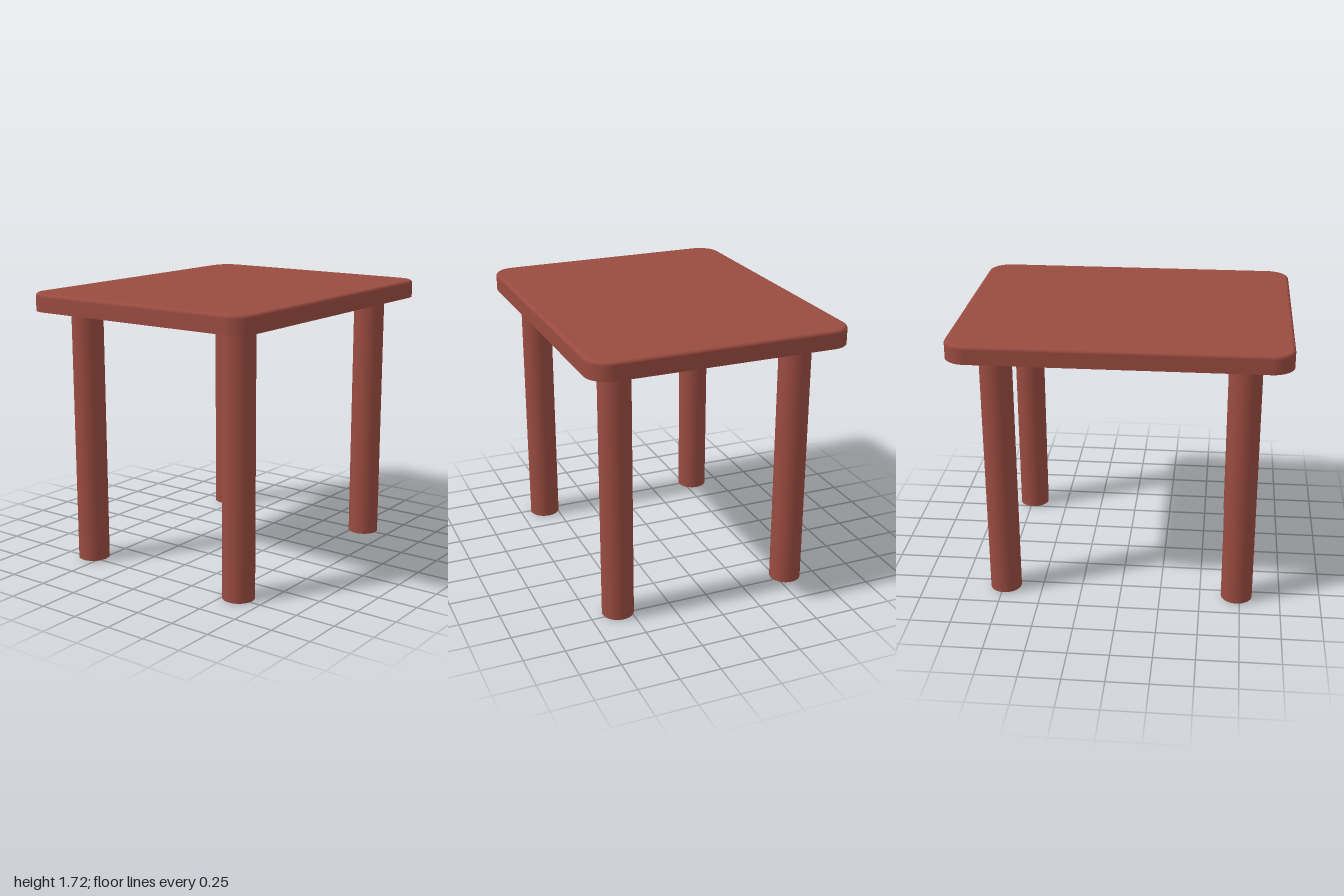
import * as THREE from 'three';

const wood = new THREE.MeshStandardMaterial({ color: 0x994b40, side: THREE.DoubleSide });
wood.name = 'reddish brown wood';

const HALF_W = 0.8, HALF_D = 1, CORNER = 0.135;
const RIM_Y = 1.605, TOP_Y = 1.715, FILLET = 0.02, ARC_STEPS = 10;

// Rounded rectangle, counterclockwise seen from above, pulled in by an inset
function outline(inset) {
  const points = [], r = CORNER - inset;
  [[1, 1], [-1, 1], [-1, -1], [1, -1]].forEach(([sx, sy], corner) => {
    for (let i = 0; i <= ARC_STEPS; i++) {
      const a = (corner + i / ARC_STEPS) * Math.PI / 2;
      points.push(new THREE.Vector2(
        sx * (HALF_W - CORNER) + r * Math.cos(a),
        sy * (HALF_D - CORNER) + r * Math.sin(a)));
    }
  });
  return points;
}

// Side wall rising from the open underside and rolling over into the top
function edgeGeometry() {
  const rings = [[0, RIM_Y]];
  for (let i = 0; i <= 5; i++) {
    const a = i / 5 * Math.PI / 2;
    rings.push([FILLET * (1 - Math.cos(a)), TOP_Y - FILLET * (1 - Math.sin(a))]);
  }
  const positions = [], index = [], n = 4 * (ARC_STEPS + 1);
  rings.forEach(([inset, y], j) => {
    outline(inset).forEach((p, k) => {
      positions.push(p.x, y, -p.y);
      if (j === 0) return;
      const a = (j - 1) * n + k, b = (j - 1) * n + (k + 1) % n;
      index.push(a, b, b + n, a, b + n, a + n);
    });
  });
  const geometry = new THREE.BufferGeometry();
  geometry.setAttribute('position', new THREE.Float32BufferAttribute(positions, 3));
  geometry.setIndex(index);
  geometry.computeVertexNormals();
  return geometry;
}

function addMesh(parent, name, geometry) {
  const mesh = new THREE.Mesh(geometry, wood);
  mesh.name = name;
  parent.add(mesh);
  return mesh;
}

export function createModel() {
  const table = new THREE.Group();
  table.name = 'table';

  // Hollow tabletop: a flat panel with a thin edge around it
  const tabletop = new THREE.Group();
  tabletop.name = 'tabletop';
  table.add(tabletop);
  addMesh(tabletop, 'tabletopEdge', edgeGeometry());
  const panel = new THREE.ShapeGeometry(new THREE.Shape(outline(FILLET)));
  addMesh(tabletop, 'tabletopPanel', panel.rotateX(-Math.PI / 2)).position.y = TOP_Y;

  // Four round legs, set slightly unevenly, running up to the panel
  const legs = [
    ['frontLeftLeg', 0.583, 0.73, 0],
    ['frontRightLeg', -0.558, 0.73, 0.008],
    ['backLeftLeg', 0.578, -0.733, 0.008],
    ['backRightLeg', -0.558, -0.733, 0.008],
  ];
  for (const [name, x, z, foot] of legs) {
    const height = TOP_Y - 0.005 - foot;
    const leg = addMesh(table, name, new THREE.CylinderGeometry(0.097, 0.097, height, 40));
    leg.position.set(x, foot + height / 2, z);
  }
  return table;
}
